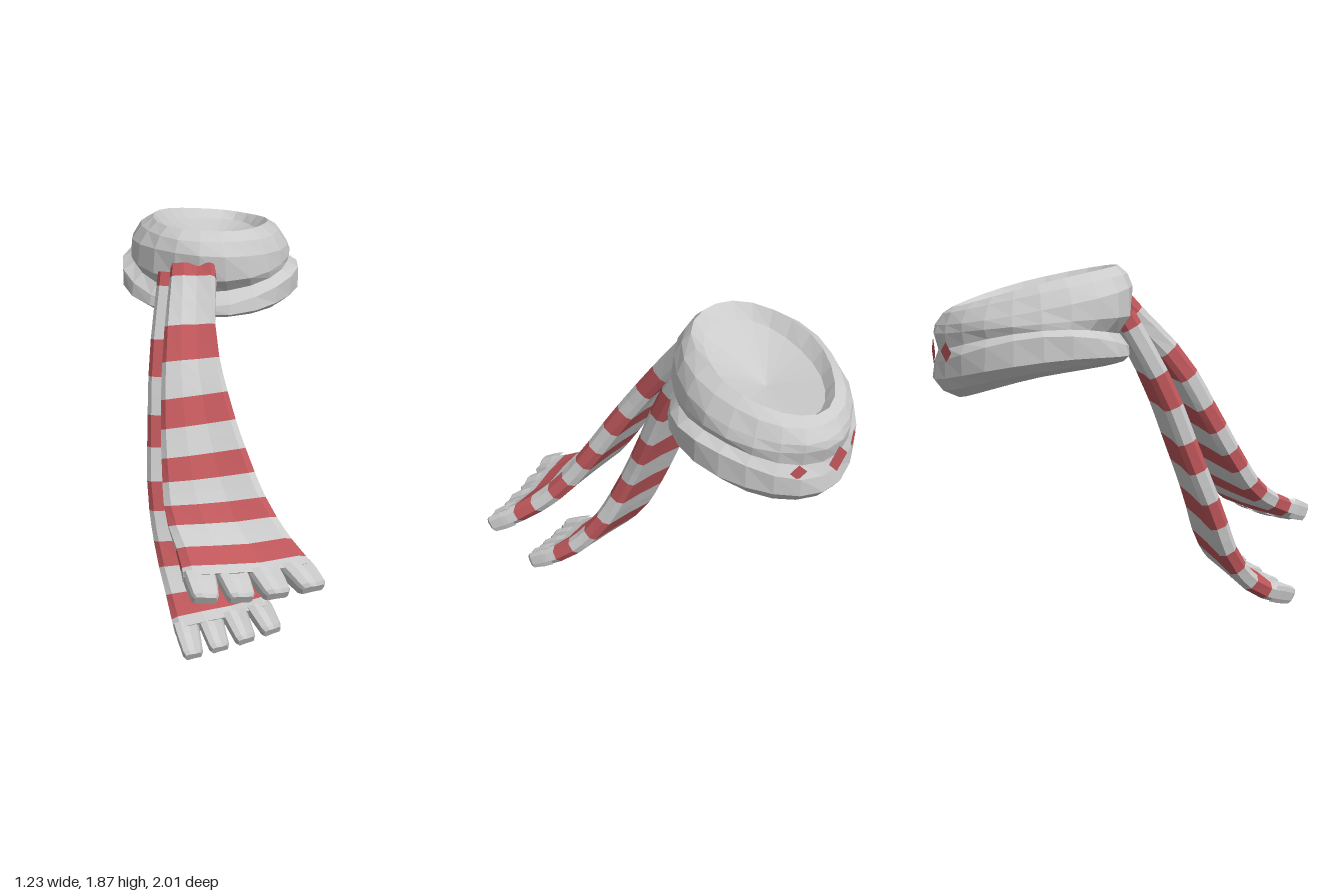
import * as THREE from 'three';

const grey = new THREE.MeshStandardMaterial({ color: 0xcbcbcb });
grey.name = 'light grey wool';
const red = new THREE.MeshStandardMaterial({ color: 0xbf575b });
red.name = 'red wool';

// Faceted skin over a list of closed rings with equal point counts
function loft(name, rings, material) {
  const pos = [];
  for (let i = 0; i < rings.length - 1; i++) {
    const n = rings[i].length;
    for (let j = 0; j < n; j++) {
      const a = rings[i][j], b = rings[i][(j + 1) % n];
      const c = rings[i + 1][j], d = rings[i + 1][(j + 1) % n];
      for (const tri of [[a, b, c], [b, d, c]]) {
        if (tri[0].equals(tri[1]) || tri[1].equals(tri[2]) || tri[0].equals(tri[2])) continue;
        tri.forEach(p => pos.push(p.x, p.y, p.z));
      }
    }
  }
  const geo = new THREE.BufferGeometry();
  geo.setAttribute('position', new THREE.Float32BufferAttribute(pos, 3));
  geo.computeVertexNormals();
  const mesh = new THREE.Mesh(geo, material);
  mesh.name = name;
  return mesh;
}

// A ring collapsed to its middle, used as a cap
function cap(ring) {
  const c = new THREE.Vector3();
  ring.forEach(p => c.add(p));
  c.divideScalar(ring.length);
  return ring.map(() => c);
}

// Point on an egg-shaped loop given its x radius, front and back z radii,
// and its heights at the front, sides and back
function wrapPoint([rx, rzFront, rzBack, yFront, ySide, yBack], a, scale = 1) {
  const s = Math.sin(a), c = Math.cos(a);
  const rz = (s > 0 ? rzFront : rzBack) * scale;
  return new THREE.Vector3(
    -0.155 + rx * scale * c * (1 + 0.1 * s) - 0.1 * rx * s,
    ySide + (yFront - yBack) / 2 * s + ((yFront + yBack) / 2 - ySide) * s * s - 0.05 * rx * c,
    -0.53 + rz * s);
}

// Neck wrap: from the top dish, over the upper and lower folds, to the underside
function neckWrap() {
  const group = new THREE.Group();
  group.name = 'neckWrap';
  const loops = [
    [0, 0, 0, 1.62, 1.62, 1.62],
    [0.23, 0.36, 0.33, 1.80, 1.71, 1.63],
    [0.285, 0.42, 0.37, 1.86, 1.775, 1.665],
    [0.345, 0.46, 0.42, 1.82, 1.735, 1.635],
    [0.39, 0.49, 0.455, 1.76, 1.66, 1.58],
    [0.405, 0.485, 0.462, 1.62, 1.60, 1.54],
    [0.40, 0.42, 0.447, 1.53, 1.57, 1.46],
    [0.452, 0.465, 0.465, 1.47, 1.545, 1.40],
    [0.455, 0.475, 0.472, 1.43, 1.43, 1.32],
    [0.41, 0.45, 0.43, 1.405, 1.385, 1.265],
    [0.35, 0.41, 0.36, 1.39, 1.355, 1.23],
    [0, 0, 0, 1.34, 1.34, 1.34],
  ];
  const rings = loops.map((loop, i) => Array.from({ length: 22 }, (_, j) => {
    const a = j / 22 * Math.PI * 2;
    return wrapPoint(loop, a, 1 + 0.01 * Math.sin(a * 5 + i * 1.9));
  }));
  group.add(loft('wrapFolds', rings, grey));

  // Red patches showing in the groove at the back
  for (const [deg, size] of [[27, 0.04], [-4, 0.068], [-27, 0.048]]) {
    const a = THREE.MathUtils.degToRad(deg - 90);
    const patch = new THREE.Mesh(new THREE.CircleGeometry(size, 4), red);
    patch.name = 'backPatch';
    patch.position.copy(wrapPoint([0.442, 0.468, 0.468, 1.6, 1.52, 1.455], a));
    patch.rotation.y = Math.PI / 2 - a;
    group.add(patch);
  }
  return group;
}

// Scarf end: a thick ribbon between two edge curves, striped, with four fringe tassels.
// Edge points sit on the red stripes; the last is the fringe tip.
function scarfEnd(name, rightPts, leftPts, thick, sag) {
  const group = new THREE.Group();
  group.name = name;
  const curve = pts => new THREE.CatmullRomCurve3(pts.map(p => new THREE.Vector3(...p)), false, 'catmullrom');
  const R = curve(rightPts), L = curve(leftPts);
  const at = (t, u) => {
    const p = L.getPoint(t / 6).lerp(R.getPoint(t / 6), u);
    p.y -= sag * Math.sin(Math.PI * u) * (t / 6) ** 3;
    return p;
  };
  const profile = [[0.93, 0.5], [0.62, 0.44], [0.33, 0.58], [0.07, 0.5], [0, 0.25], [0, -0.25],
    [0.07, -0.5], [0.5, -0.44], [0.93, -0.5], [1, -0.25], [1, 0.25]];
  const section = (t, u0 = 0, u1 = 1, k = 1) => {
    const along = at(Math.min(t + 0.1, 6), 0.5).sub(at(Math.max(t - 0.1, 0), 0.5));
    const normal = along.cross(at(t, 1).sub(at(t, 0))).normalize();
    return profile.map(([u, n]) => at(t, u0 + (u1 - u0) * u).addScaledVector(normal, n * thick * k));
  };

  // Stripes
  for (let k = 0; k < 6; k++) {
    const start = Math.max(0, k - 0.19), mid = k + (k ? 0.28 : 0.17), end = k < 5 ? k + 0.81 : 5.5;
    const redRings = [start, mid].map(t => section(t));
    if (k === 0) redRings.unshift(cap(redRings[0]));
    group.add(loft('redStripe', redRings, red));
    const greyRings = [mid, (mid + end) / 2, end].map(t => section(t));
    if (k === 5) greyRings.push(cap(greyRings[2]));
    group.add(loft('greyStripe', greyRings, grey));
  }

  // Fringe tassels
  for (let k = 0; k < 4; k++) {
    const u0 = k / 4, u1 = u0 + 0.25;
    const rings = [section(5.4, u0, u1, 0.98), section(5.62, u0 + 0.01, u1 - 0.01, 1.02),
      section(5.93, u0 + 0.03, u1 - 0.03, 0.9), section(6, u0 + 0.05, u1 - 0.05, 0.65)];
    rings.push(cap(rings[3]));
    group.add(loft('fringeTassel', rings, grey));
  }
  return group;
}

export function createModel() {
  const model = new THREE.Group();
  model.name = 'scarf';
  model.add(neckWrap());
  model.add(scarfEnd('upperScarfEnd',
    [[-0.06, 1.69, -0.09], [-0.02, 1.4, 0.125], [0.08, 1.14, 0.285], [0.19, 0.91, 0.4],
      [0.31, 0.71, 0.505], [0.46, 0.56, 0.62], [0.645, 0.46, 0.75]],
    [[-0.28, 1.67, -0.09], [-0.27, 1.39, 0.19], [-0.25, 1.1, 0.37], [-0.22, 0.87, 0.51],
      [-0.18, 0.69, 0.64], [-0.08, 0.57, 0.81], [0.0, 0.49, 1.01]], 0.105, 0.035));
  model.add(scarfEnd('lowerScarfEnd',
    [[-0.08, 1.63, -0.1], [-0.05, 1.28, 0.085], [-0.02, 0.95, 0.215], [0.03, 0.66, 0.325],
      [0.145, 0.4, 0.42], [0.28, 0.22, 0.54], [0.43, 0.12, 0.7]],
    [[-0.35, 1.63, -0.1], [-0.36, 1.27, 0.1], [-0.35, 0.93, 0.24], [-0.33, 0.62, 0.37],
      [-0.27, 0.34, 0.49], [-0.17, 0.14, 0.67], [-0.06, 0.025, 0.92]], 0.1, 0.015));
  return model;
}
